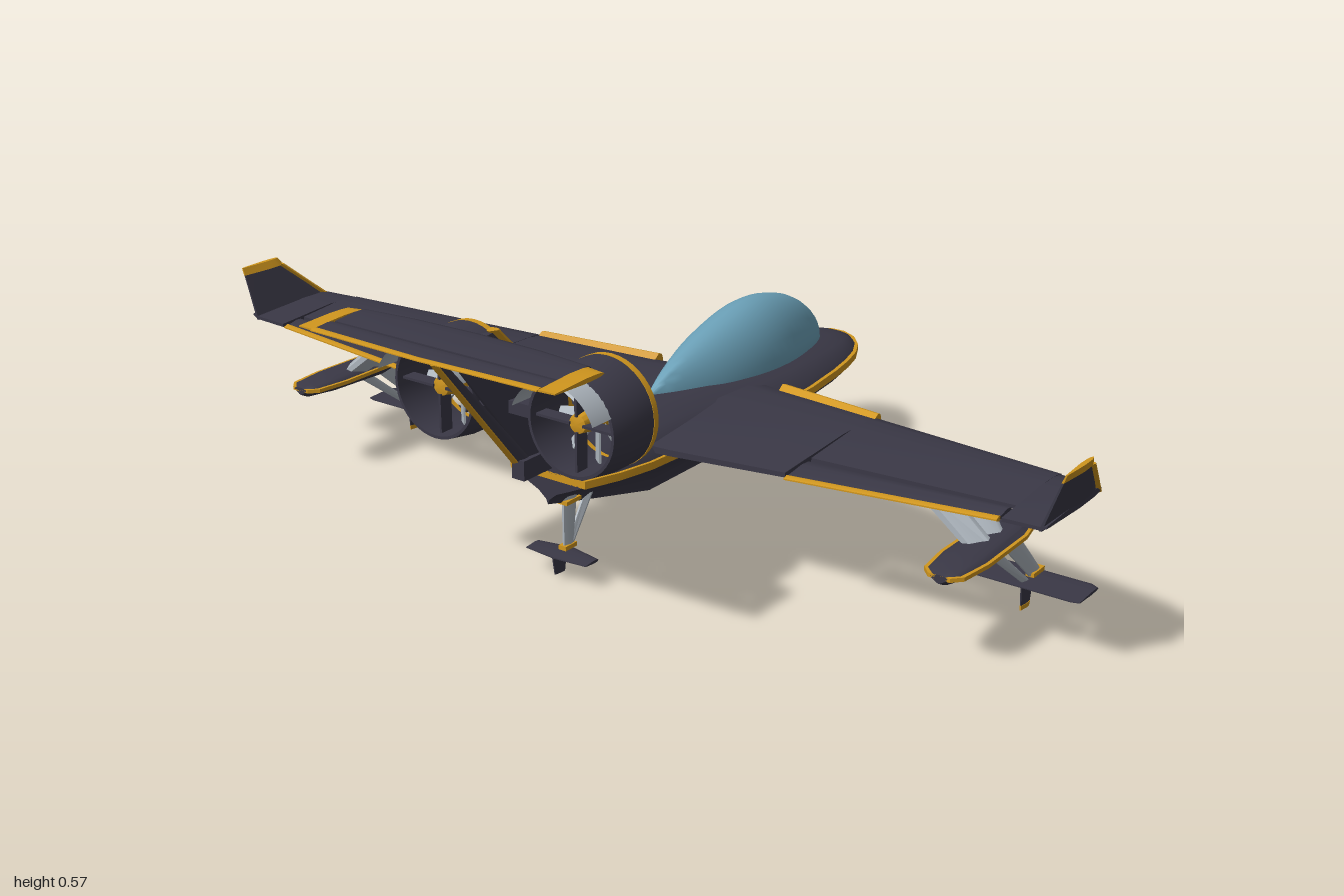
import * as THREE from 'three';
import { toCreasedNormals } from 'three/addons/utils/BufferGeometryUtils.js';

const paint = (name, color, side = THREE.FrontSide) => {
  const m = new THREE.MeshStandardMaterial({ color, side });
  m.name = name;
  return m;
};

// Skin a list of closed rings of [x, y, z], cap both ends, and face it outward
function loft(rings, crease = 0.6) {
  const n = rings[0].length, pos = rings.flat(2), idx = [];
  const at = (r, i) => r * n + (i % n);
  for (let r = 0; r < rings.length - 1; r++)
    for (let i = 0; i < n; i++)
      idx.push(at(r, i), at(r, i + 1), at(r + 1, i), at(r, i + 1), at(r + 1, i + 1), at(r + 1, i));
  [0, rings.length - 1].forEach((r, end) => {
    const c = pos.length / 3;
    for (let k = 0; k < 3; k++) pos.push(rings[r].reduce((s, p) => s + p[k], 0) / n);
    for (let i = 0; i < n; i++)
      end ? idx.push(c, at(r, i), at(r, i + 1)) : idx.push(c, at(r, i + 1), at(r, i));
  });
  const v = (i) => new THREE.Vector3().fromArray(pos, i * 3);
  let volume = 0;
  for (let i = 0; i < idx.length; i += 3) volume += v(idx[i]).dot(v(idx[i + 1]).cross(v(idx[i + 2])));
  if (volume < 0) idx.reverse();
  const g = new THREE.BufferGeometry();
  g.setAttribute('position', new THREE.Float32BufferAttribute(pos, 3));
  g.setIndex(idx);
  return toCreasedNormals(g, crease);
}

// Aerofoil panel through stations [leadingX, trailingX, y, z, thickness]
const FOIL = [[0, 0], [0.05, 0.3], [0.15, 0.44], [0.4, 0.5], [1, 0.14], [1, -0.14], [0.4, -0.5], [0.15, -0.44], [0.05, -0.3]];
const panel = (stations, vertical = false) => loft(stations.map(([le, te, y, z, t]) =>
  FOIL.map(([c, h]) => {
    const x = le + (te - le) * c;
    return vertical ? [x, y, z + h * t] : [x, y + h * t, z];
  })));

// Boat hull through stations [x, halfWidth, keelY, deckY] with a hollow V bottom
function hull(stations, chine, hollow, z0 = 0) {
  return loft(stations.map(([x, w, keel, deck]) => {
    const up = deck - chine, down = chine - keel;
    const half = [[0.35, chine + up * 0.96], [0.7, chine + up * 0.75], [0.93, chine + up * 0.35], [1, chine],
      [0.95, chine - down * 0.15], [0.6, chine - down * (0.5 - 0.12 * hollow)],
      [0.25, chine - down * (0.85 - 0.25 * hollow)], [0.05, chine - down * (0.98 - 0.15 * hollow)]];
    return [[x, deck, z0], ...half.map(([f, y]) => [x, y, z0 + f * w]), [x, keel, z0],
      ...half.reverse().map(([f, y]) => [x, y, z0 - f * w])];
  }), 0.7);
}

// Thin band that follows the hull's widest line
const band = (stations, y, h, z0 = 0) => loft(stations.map(([x, w]) =>
  [[1, 1], [1, -1], [-1, -1], [-1, 1]].map(([a, b]) => [x, y + b * h, z0 + a * (w + 0.004)])));

export function createModel() {
  const dark = paint('charcoal', 0x3a3846), gold = paint('gold', 0xd0961e);
  const glass = paint('canopyBlue', 0x6a9fb6), metal = paint('lightGrey', 0xadb5bd, THREE.DoubleSide);
  const model = new THREE.Group();
  const add = (name, geo, mat, parent = model) => {
    const m = new THREE.Mesh(geo, mat);
    m.name = name;
    parent.add(m);
    return m;
  };
  const box = (name, mat, sx, sy, sz, x, y, z) =>
    add(name, new THREE.BoxGeometry(sx, sy, sz).translate(x, y, z), mat);

  // Fuselage and its stripe
  const body = [[-0.355, 0.088, 0.172, 0.285], [-0.28, 0.115, 0.152, 0.295], [-0.2, 0.132, 0.132, 0.3],
    [-0.03, 0.142, 0.09, 0.3], [0.2, 0.16, 0.09, 0.29], [0.34, 0.155, 0.09, 0.285], [0.46, 0.14, 0.09, 0.28],
    [0.53, 0.127, 0.103, 0.274], [0.59, 0.11, 0.13, 0.268], [0.64, 0.085, 0.162, 0.26],
    [0.68, 0.05, 0.195, 0.248], [0.7, 0.012, 0.216, 0.236]];
  add('fuselage', hull(body, 0.235, 1), dark);
  add('fuselageStripe', band(body, 0.234, 0.008), gold);

  // Teardrop canopy: x, half width, height over the sill
  const sill = 0.268;
  const drop = new THREE.CatmullRomCurve3([[-0.04, 0.004, 0.03], [0.04, 0.035, 0.074], [0.18, 0.075, 0.122],
    [0.33, 0.088, 0.147], [0.46, 0.071, 0.122], [0.55, 0.042, 0.068], [0.602, 0.006, 0.004]]
    .map((p) => new THREE.Vector3(...p)));
  add('canopy', loft(drop.getPoints(28).map((p) => Array.from({ length: 28 }, (_, i) => {
    const a = i / 28 * Math.PI * 2, s = Math.sin(a);
    return [p.x, sill + s * (s > 0 ? p.z : 0.03), p.y * Math.cos(a)];
  })), 1.2), glass);

  for (const s of [1, -1]) {
    const side = s > 0 ? 'left' : 'right';
    const m = (st) => st.map(([a, b, y, z, t]) => [a, b, y, z * s, t]);
    const wing = (name, mat, st, vertical) => add(side + name, panel(m(st), vertical), mat);

    // Wing, split around the flap
    wing('WingInner', dark, [[0.25, -0.18, 0.257, 0.08, 0.05], [0.23, -0.18, 0.26, 0.16, 0.046], [0.158, -0.185, 0.283, 0.43, 0.034]]);
    wing('WingMiddle', dark, [[0.158, -0.095, 0.283, 0.43, 0.034], [0.039, -0.137, 0.318, 0.88, 0.026]]);
    wing('WingOuter', dark, [[0.039, -0.2, 0.318, 0.88, 0.026], [0.02, -0.205, 0.323, 0.955, 0.024], [0.01, -0.205, 0.328, 0.968, 0.016]]);
    wing('LeadingEdgeTrim', gold, [[0.235, 0.195, 0.26, 0.16, 0.05], [0.162, 0.13, 0.283, 0.43, 0.037]]);
    wing('Flap', dark, [[-0.107, -0.19, 0.282, 0.437, 0.018], [-0.147, -0.192, 0.316, 0.873, 0.016]]);
    wing('FlapTrim', gold, [[-0.186, -0.201, 0.282, 0.437, 0.01], [-0.189, -0.204, 0.316, 0.873, 0.01]]);

    // Winglet with gold front edge and cap
    wing('Winglet', dark, [[0.015, -0.205, 0.318, 0.955, 0.02], [-0.095, -0.203, 0.416, 0.99, 0.012]], true);
    wing('WingletEdge', gold, [[0.021, 0.002, 0.318, 0.955, 0.022], [-0.089, -0.108, 0.416, 0.99, 0.016]], true);
    wing('WingletCap', gold, [[-0.089, -0.204, 0.414, 0.989, 0.015], [-0.1, -0.204, 0.43, 0.995, 0.01]], true);

    // Outrigger float hung on two slabs
    wing('FloatStrutFront', metal, [[0.055, -0.01, 0.295, 0.665, 0.075], [-0.02, -0.085, 0.2, 0.785, 0.06]], true);
    wing('FloatStrutRear', metal, [[-0.055, -0.115, 0.295, 0.665, 0.075], [-0.06, -0.115, 0.2, 0.785, 0.06]], true);
    const pod = [[-0.245, 0.018, 0.188, 0.205], [-0.225, 0.036, 0.178, 0.21], [-0.15, 0.045, 0.17, 0.213],
      [0, 0.043, 0.165, 0.213], [0.06, 0.03, 0.175, 0.211], [0.1, 0.006, 0.192, 0.206]];
    add(side + 'Float', hull(pod, 0.2, 0, 0.79 * s), dark);
    add(side + 'FloatStripe', band(pod, 0.2, 0.004, 0.79 * s), gold);

    // Float hydrofoil on V legs
    wing('FoilLegRear', metal, [[-0.03, -0.065, 0.175, 0.79, 0.012], [0.11, 0.088, 0.062, 0.79, 0.012]], true);
    wing('FoilLegFront', metal, [[0.055, -0.01, 0.175, 0.79, 0.014], [0.165, 0.12, 0.062, 0.79, 0.012]], true);
    box(side + 'FoilJoint', gold, 0.045, 0.009, 0.018, 0.145, 0.064, 0.79 * s);
    wing('Foil', dark, [[0.165, 0.085, 0.055, 0.668, 0.006], [0.175, 0.08, 0.055, 0.685, 0.008], [0.175, 0.08, 0.055, 0.895, 0.008], [0.165, 0.085, 0.055, 0.912, 0.006]]);
    wing('FoilKeel', dark, [[0.135, 0.088, 0.052, 0.79, 0.01], [0.127, 0.092, 0.01, 0.79, 0.008]], true);
    wing('FoilKeelTip', gold, [[0.128, 0.091, 0.011, 0.79, 0.01], [0.126, 0.092, 0.001, 0.79, 0.008]], true);

    // Ducted fan, built along y and laid over to point forward
    const engine = new THREE.Group();
    engine.name = side + 'Engine';
    engine.position.set(-0.42, 0.41, 0.165 * s);
    engine.rotation.z = -Math.PI / 2;
    model.add(engine);
    const ring = (pts) => toCreasedNormals(new THREE.LatheGeometry(pts.map((p) => new THREE.Vector2(...p)), 40), 0.6);
    add('duct', ring([[0.093, -0.065], [0.099, -0.065], [0.107, -0.01], [0.107, 0.045], [0.094, 0.045], [0.092, 0, 0], [0.093, -0.065]]), dark, engine);
    add('ductLip', ring([[0.094, 0.042], [0.108, 0.042], [0.107, 0.056], [0.101, 0.061], [0.095, 0.056], [0.094, 0.042]]), gold, engine);
    add('fanHub', ring([[0, -0.05], [0.018, -0.045], [0.025, 0], [0.024, 0.03], [0.014, 0.046], [0, 0.052]]), gold, engine);
    for (let i = 0; i < 9; i++) {
      const blade = new THREE.BoxGeometry(0.076, 0.004, 0.026).rotateX(0.65).translate(0.056, 0.015, 0).rotateY(i / 9 * Math.PI * 2);
      add('fanBlade', blade, metal, engine);
    }
    for (let i = 0; i < 4; i++)
      add('stator', new THREE.BoxGeometry(0.08, 0.03, 0.005).translate(0.055, -0.035, 0).rotateY(i * Math.PI / 2), dark, engine);
    add('exhaustHood', new THREE.CylinderGeometry(0.099, 0.099, 0.06, 28, 1, true, Math.PI + 0.38, Math.PI - 0.76).translate(0, -0.087, 0), metal, engine);
    box(side + 'EnginePylon', dark, 0.08, 0.025, 0.065, -0.43, 0.41, 0.035 * s);

    // Half tailplane with elevator
    wing('Tailplane', dark, [[-0.53, -0.632, 0.563, 0, 0.014], [-0.535, -0.632, 0.563, 0.15, 0.013], [-0.548, -0.632, 0.563, 0.265, 0.012]]);
    wing('Elevator', dark, [[-0.636, -0.69, 0.563, 0, 0.009], [-0.636, -0.68, 0.563, 0.265, 0.009]]);
    wing('ElevatorTrim', gold, [[-0.688, -0.701, 0.563, 0, 0.007], [-0.678, -0.694, 0.563, 0.265, 0.007]]);
    wing('TailplaneTip', gold, [[-0.55, -0.69, 0.563, 0.265, 0.013], [-0.556, -0.688, 0.563, 0.3, 0.009]]);
  }

  // Swept fin and rudder
  add('fin', panel([[-0.19, -0.39, 0.255, 0, 0.034], [-0.5, -0.632, 0.562, 0, 0.018]], true), dark);
  add('finEdge', panel([[-0.2, -0.235, 0.275, 0, 0.03], [-0.488, -0.512, 0.566, 0, 0.022]], true), gold);
  add('rudder', panel([[-0.41, -0.446, 0.29, 0, 0.014], [-0.634, -0.655, 0.543, 0, 0.012]], true), dark);
  add('rudderTrim', panel([[-0.442, -0.455, 0.29, 0, 0.01], [-0.65, -0.664, 0.543, 0, 0.01]], true), gold);
  box('tailStub', dark, 0.1, 0.04, 0.03, -0.39, 0.272, 0);

  // Rear hydrofoil under the stern
  add('rearLegMain', panel([[-0.27, -0.31, 0.18, 0, 0.02], [-0.285, -0.31, 0.06, 0, 0.014]], true), metal);
  add('rearLegBrace', panel([[-0.21, -0.235, 0.17, 0, 0.016], [-0.285, -0.305, 0.062, 0, 0.012]], true), metal);
  box('rearLegTop', gold, 0.045, 0.008, 0.024, -0.29, 0.16, 0);
  box('rearFoilJoint', gold, 0.035, 0.009, 0.018, -0.297, 0.064, 0);
  add('rearFoil', panel([[-0.295, -0.335, 0.053, -0.075, 0.006], [-0.28, -0.342, 0.053, 0, 0.009], [-0.295, -0.335, 0.053, 0.075, 0.006]]), dark);
  add('rearFoilKeel', panel([[-0.302, -0.344, 0.052, 0, 0.01], [-0.308, -0.338, 0.016, 0, 0.008]], true), dark);
  return model;
}
